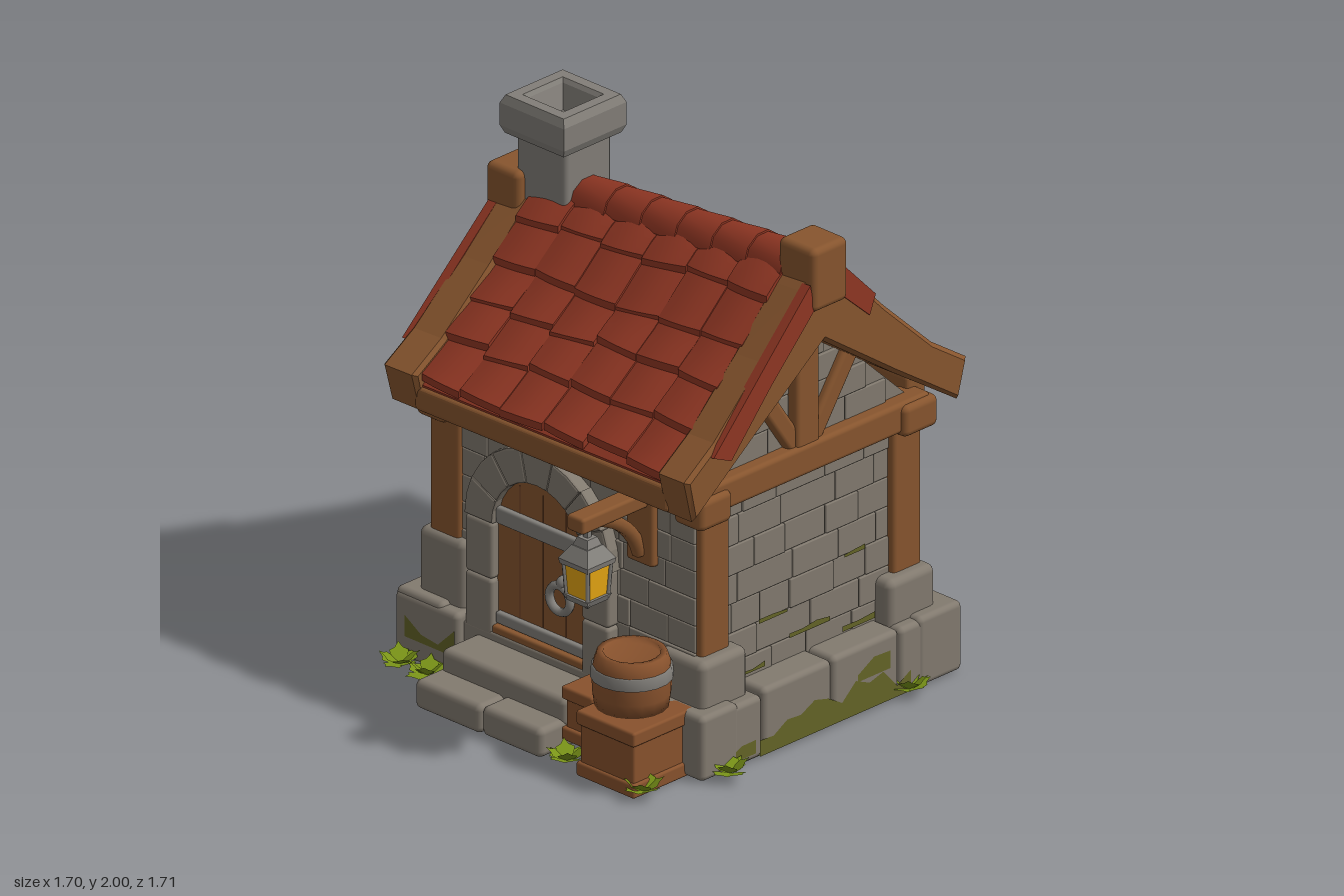
import * as THREE from 'three';
import { mergeGeometries } from 'three/addons/utils/BufferGeometryUtils.js';
import { RoundedBoxGeometry } from 'three/addons/geometries/RoundedBoxGeometry.js';

const material = (name, color, side = THREE.FrontSide) => {
  const m = new THREE.MeshStandardMaterial({ color, side });
  m.name = name;
  return m;
};

export function createModel() {
  const M = {
    stone: material('stone', 0x827a6f), pale: material('pale stone', 0x827e78),
    wood: material('timber', 0x87552e), plank: material('plank wood', 0x88522d),
    tile: material('roof tile', 0x8f3623), moss: material('moss', 0x646427, THREE.DoubleSide),
    leaf: material('leaf', 0x7a9418, THREE.DoubleSide), iron: material('iron', 0x83807b),
    glass: material('lit glass', 0xeaa914), soil: material('dark soil', 0x6c3e26),
  };
  const house = new THREE.Group();
  house.name = 'cottage';
  let seed = 7;
  const rand = (a = 0, b = 1) => { seed = (seed * 16807) % 2147483647; return a + (b - a) * seed / 2147483647; };
  const add = (name, geo, mat, parent = house) => {
    const mesh = new THREE.Mesh(geo, mat);
    mesh.name = name;
    parent.add(mesh);
    return mesh;
  };
  // Rounded block given by its limits
  const block = (name, mat, x0, x1, y0, y1, z0, z1, r = 0.018, parent = house) => {
    const w = x1 - x0, h = y1 - y0, d = z1 - z0;
    const geo = new RoundedBoxGeometry(w, h, d, 2, Math.min(r, w / 2.1, h / 2.1, d / 2.1));
    return add(name, geo.translate((x0 + x1) / 2, (y0 + y1) / 2, (z0 + z1) / 2), mat, parent);
  };
  const warp = (geo, fn) => {
    const p = geo.attributes.position, v = new THREE.Vector3();
    for (let i = 0; i < p.count; i++) { fn(v.fromBufferAttribute(p, i)); p.setXYZ(i, v.x, v.y, v.z); }
    geo.computeVertexNormals();
    return geo;
  };
  const shapeOf = (pts) => new THREE.Shape(pts.map(([a, b]) => new THREE.Vector2(a, b)));
  // Extrude a (z, y) profile along x, ending at xMax
  const alongX = (pts, depth, xMax, bevel = 0) => new THREE.ExtrudeGeometry(shapeOf(pts), {
    depth, bevelEnabled: bevel > 0, bevelSize: bevel, bevelThickness: bevel, bevelOffset: -bevel, bevelSegments: 1, curveSegments: 6,
  }).rotateY(-Math.PI / 2).translate(xMax, 0, 0);

  // Walls with close-set, slightly uneven bricks
  block('wall core', M.stone, -0.61, 0.61, 0.02, 1.06, -0.61, 0.45, 0.01);
  add('gable wall', alongX([[0.46, 1.03], [-0.06, 1.56], [-0.62, 1.03]], 1.22, 0.61), M.stone);
  const bricks = (name, width, y0, y1, place, rowWidth = () => width) => {
    const parts = [], rows = Math.round((y1 - y0) / 0.108), h = (y1 - y0) / rows;
    for (let r = 0; r < rows; r++) {
      const w = rowWidth(r / rows);
      let x = -w / 2;
      while (x < w / 2 - 0.03) {
        let bw = rand(0.13, 0.27);
        if (x + bw > w / 2 - 0.08) bw = w / 2 - x;
        const g = new RoundedBoxGeometry(bw - 0.002, h - 0.002, 0.05, 1, 0.004);
        parts.push(g.translate(x + bw / 2, y0 + (r + 0.5) * h, rand(-0.01, -0.003)));
        x += bw;
      }
    }
    place(add(name, mergeGeometries(parts), M.stone));
  };
  bricks('front bricks', 1.2, 0.22, 1.05, (m) => m.position.set(0.02, 0, 0.44));
  bricks('back bricks', 1.16, 0.22, 1.05, (m) => { m.position.set(0, 0, -0.6); m.rotation.y = Math.PI; });
  for (const s of [1, -1]) {
    const place = (m) => { m.position.set(s * 0.6, 0, -0.08); m.rotation.y = s * Math.PI / 2; };
    bricks('side bricks', 0.98, 0.22, 1.0, place);
    bricks('gable bricks', 0.9, 1.06, 1.46, place, (t) => 0.8 * (1 - t));
  }

  // Stone footing and corner stones
  block('footing core', M.stone, -0.71, 0.71, 0.004, 0.22, -0.7, 0.51, 0.01);
  const edges = [-0.73, -0.43, -0.1, 0.24, 0.54];
  const xs = [-0.745, -0.44, -0.12, 0.2, 0.46, 0.74];
  for (let i = 0; i < 4; i++) for (const s of [1, -1]) {
    block('footing stone', M.stone, s > 0 ? 0.52 : -0.745, s > 0 ? 0.735 : -0.52, 0.004, 0.25 + rand(-0.015, 0.015), edges[i] + 0.001, edges[i + 1] - 0.001, 0.022);
  }
  for (let i = 0; i < 5; i++) {
    block('back footing stone', M.stone, xs[i] + 0.001, xs[i + 1] - 0.001, 0.004, 0.25 + rand(-0.02, 0.02), -0.735, -0.52, 0.022);
    if (i !== 1 && i !== 2) block('front footing stone', M.stone, xs[i] + 0.001, xs[i + 1] - 0.001, 0.004, 0.25, 0.36, 0.545, 0.022);
  }
  for (const [x, z, h] of [[-0.57, 0.38, 0.5], [0.58, 0.38, 0.42], [0.58, -0.54, 0.42], [-0.57, -0.54, 0.44]]) {
    block('corner stone', M.stone, x - 0.11, x + 0.11, 0.2, h, z - 0.115, z + 0.115, 0.03);
  }

  // Corner posts, caps and tie beams
  for (const s of [1, -1]) {
    const a = s > 0 ? 0.53 : -0.645, b = s > 0 ? 0.645 : -0.5;
    block('front post', M.wood, a, b, 0.4, 1, 0.31, s > 0 ? 0.45 : 0.475);
    block('back post', M.wood, a, b, 0.4, 1, -0.63, -0.49);
    block('front post cap', M.wood, s * 0.62 - 0.07, s * 0.62 + 0.07, 0.92, 1.04, 0.34, 0.5, 0.025);
    block('back post cap', M.wood, s * 0.62 - 0.07, s * 0.62 + 0.07, 0.94, 1.06, -0.67, -0.5, 0.025);
    block('tie beam', M.wood, s > 0 ? 0.55 : -0.67, s > 0 ? 0.67 : -0.55, 0.955, 1.07, -0.65, 0.48);
    block('king post', M.wood, s * 0.62 - 0.04, s * 0.62 + 0.04, 1.05, 1.56, -0.118, -0.002);
    for (const k of [1, -1]) {
      const brace = block('gable brace', M.wood, -0.03, 0.03, -0.19, 0.2, -0.038, 0.038);
      brace.position.set(s * 0.62, 1.22, -0.06 + k * 0.145);
      brace.rotation.x = k * 0.6;
    }
  }

  // Roof curve: height by distance from the ridge, drooping towards -x
  const curve = [[0, 1.77], [0.11, 1.68], [0.31, 1.46], [0.55, 1.23], [0.66, 1.135]];
  const roofY = (d) => {
    let i = 0;
    while (i < 3 && d > curve[i + 1][0]) i++;
    const [a, b] = [curve[i], curve[i + 1]];
    return a[1] + (b[1] - a[1]) * (d - a[0]) / (b[0] - a[0]);
  };
  const lean = (v) => {
    v.y += (v.x - 0.6) * (0.008 + 0.072 * THREE.MathUtils.clamp((v.y - 1.05) / 0.75, 0, 1));
    v.x += 0.03 * v.z;
  };
  const band = (top, bottom) => { // closed profile between two offsets, both slopes
    const row = (o) => [...curve.slice(1).reverse().map(([d, y]) => [-0.06 + d, y + o]), [-0.06, 1.77 + o], ...curve.slice(1).map(([d, y]) => [-0.06 - d, y + o])];
    return [...row(top), ...row(bottom).reverse()];
  };
  add('roof underlay', warp(alongX(band(-0.008, -0.06), 1.24, 0.64), lean), M.tile);
  const tiles = [];
  for (const side of [1, -1]) for (let r = 0; r < 5; r++) for (let c = 0; c < 6; c++) {
    const w = 1.2 / 6, start = 0.02 + r * (side > 0 ? 0.125 : 0.12), slip = rand(-0.012, 0.012), up = rand(0, 0.014), skew = rand(-0.016, 0.016);
    tiles.push(warp(new THREE.BoxGeometry(1, 1, 1, 5, 1, 3), (v) => {
      const bow = 0.018 * Math.cos(v.x * Math.PI);
      const d = Math.max(0, start + (v.z + 0.5) * 0.142 + (v.z > 0 ? slip + skew * v.x + bow * 0.7 : 0));
      const h = v.y * 0.03 + 0.03 * (v.z + 0.5) + bow - 0.008 + up;
      v.set(0.015 + (c - 2.5) * w + side * v.x * (w - 0.002), roofY(d) + h, -0.06 + side * d);
      lean(v);
    }));
  }
  add('roof tiles', mergeGeometries(tiles), M.tile);
  for (let i = 0; i < 7; i++) {
    const g = new THREE.CylinderGeometry(0.087, 0.095, 0.18, 10).rotateZ(Math.PI / 2);
    add('ridge tile', warp(g.translate(-0.5 + i * 0.17, 1.722, -0.06), lean), M.tile);
  }
  // Barge boards, ridge ends, outer tile strips and eave beams
  const board = [[0.64, 1.18], [0.49, 1.28], [0.25, 1.5], [0.05, 1.7], [-0.06, 1.8], [-0.17, 1.7], [-0.37, 1.5], [-0.61, 1.28], [-0.785, 1.165],
    [-0.74, 1.02], [-0.41, 1.235], [-0.06, 1.475], [0.29, 1.235], [0.6, 1.02]];
  for (const s of [1, -1]) {
    const x1 = s > 0 ? 0.74 : -0.57;
    add('barge board', warp(alongX(board, s > 0 ? 0.12 : 0.13, x1 - 0.015, 0.015), lean), M.wood);
    add('edge tiles', warp(alongX([[0.52, 1.24], [0.25, 1.505], [0.03, 1.72], [0.01, 1.62], [0.23, 1.41], [0.43, 1.2]], 0.04, s > 0 ? 0.755 : -0.705), lean), M.tile);
    add('edge tiles', warp(alongX([[-0.14, 1.74], [-0.31, 1.57], [-0.28, 1.5], [-0.12, 1.64]], 0.04, s > 0 ? 0.746 : -0.7), lean), M.tile);
    const end = block('ridge end', M.wood, s > 0 ? 0.59 : -0.76, s > 0 ? 0.765 : -0.6, 1.62, 1.86, -0.15, 0.025, 0.025);
    if (s < 0) end.position.set(0, -0.14, 0.06);
    const beam = new RoundedBoxGeometry(1.22, 0.1, 0.1, 2, 0.018).translate(0.01, 1.07, s > 0 ? 0.565 : -0.65);
    add('eave beam', warp(beam, lean), M.wood);
  }

  // Chimney with a hollow, sloping mouth
  block('chimney shaft', M.pale, -0.645, -0.405, 1.35, 1.88, -0.18, 0.05, 0.02);
  const mouth = [[0.09, 1.87], [0.2, 1.855], [0.218, 1.885], [0.218, 1.97], [0.198, 2], [0.14, 2], [0.125, 1.985], [0.085, 1.9], [0.001, 1.895]];
  const cap = new THREE.LatheGeometry(mouth.map(([a, b]) => new THREE.Vector2(a, b)), 4).toNonIndexed();
  cap.rotateY(Math.PI / 4).translate(-0.525, 0, -0.062);
  cap.computeVertexNormals();
  add('chimney cap', cap, M.pale);

  // Arched surround of separate stones, standing in the xy plane
  const arch = (name, rIn, rOut, legH, depth, n, mat, parent) => {
    const opts = { depth, bevelEnabled: true, bevelSize: 0.008, bevelThickness: 0.01, bevelOffset: -0.008, bevelSegments: 2 };
    for (let i = 0; i < n; i++) {
      const a0 = i / n * Math.PI, a1 = (i + 1) / n * Math.PI, R = rOut + rand(-0.01, 0.01);
      const pt = (r, a) => [r * Math.cos(a), legH + r * Math.sin(a)];
      const am = (a0 + a1) / 2;
      add(name, new THREE.ExtrudeGeometry(shapeOf([pt(rIn, a0), pt(R, a0), pt(R, am), pt(R, a1), pt(rIn, a1), pt(rIn, am)]), opts), mat, parent);
    }
    for (const s of [1, -1]) for (let i = 0; i < 2; i++) {
      block(name, mat, s > 0 ? rIn : -rOut, s > 0 ? rOut : -rIn, legH * i / 2, legH * (i + 1) / 2, 0, depth + 0.01, 0.015, parent);
    }
  };
  const archPanel = (r, h, depth) => {
    const s = new THREE.Shape();
    s.moveTo(-r, 0).lineTo(r, 0).lineTo(r, h).absarc(0, h, r, 0, Math.PI, false).lineTo(-r, 0);
    return new THREE.ExtrudeGeometry(s, { depth, bevelEnabled: false });
  };
  // Door
  const door = new THREE.Group();
  door.name = 'door';
  door.position.set(-0.095, 0.2, 0.43);
  house.add(door);
  arch('door surround', 0.215, 0.345, 0.43, 0.07, 7, M.stone, door);
  add('door leaf', archPanel(0.22, 0.43, 0.045), M.wood, door);
  block('door sill', M.wood, -0.22, 0.22, 0, 0.045, 0, 0.075, 0.01, door);
  for (const x of [-0.11, 0, 0.11]) block('plank seam', M.soil, x - 0.002, x + 0.002, 0.04, 0.6, 0.042, 0.046, 0.001, door);
  for (const [y, h] of [[0.05, 0.045], [0.43, 0.065]]) block('door band', M.iron, -0.213, 0.213, y, y + h, 0.03, 0.065, 0.01, door);
  add('knocker ring', new THREE.TorusGeometry(0.05, 0.016, 8, 20).translate(0.105, 0.25, 0.07), M.iron, door);
  add('knocker boss', new THREE.SphereGeometry(0.028, 10, 8).translate(0.115, 0.31, 0.06), M.iron, door);
  // Steps
  block('lower step', M.stone, -0.4, -0.08, 0, 0.11, 0.4, 0.8, 0.025);
  block('lower step', M.stone, -0.082, 0.205, 0, 0.112, 0.4, 0.795, 0.025);
  block('upper step', M.stone, -0.39, 0.21, 0.08, 0.19, 0.4, 0.68, 0.025);

  // Latticed windows on the back and left-hand walls
  for (const [x, y, z, turn, h] of [[-0.03, 0.53, -0.59, Math.PI, 0.15], [-0.59, 0.58, -0.09, -Math.PI / 2, 0.18]]) {
    const win = new THREE.Group();
    win.name = 'window';
    win.position.set(x, y, z);
    win.rotation.y = turn;
    house.add(win);
    arch('window surround', 0.11, 0.2, h, 0.06, 5, M.stone, win);
    add('window glass', archPanel(0.115, h, 0.042), M.glass, win);
    for (const s of [1, -1]) for (let i = -1; i <= 1; i++) {
      const bar = block('lattice bar', M.soil, -0.006, 0.006, -0.14, 0.14, 0.04, 0.047, 0.001, win);
      bar.position.set(i * 0.085, h * 0.5 + 0.05, 0);
      bar.rotation.z = s * 0.7;
    }
    block('window sill', M.wood, -0.24, 0.24, -0.07, 0.01, -0.02, 0.11, 0.02, win);
  }

  // Lantern on its bracket
  block('bracket beam', M.wood, 0.335, 0.415, 0.925, 0.985, 0.42, 0.8, 0.012);
  block('bracket plate', M.wood, 0.31, 0.44, 0.7, 1.0, 0.42, 0.485, 0.015);
  const bend = new THREE.QuadraticBezierCurve3(new THREE.Vector3(0.375, 0.74, 0.48), new THREE.Vector3(0.375, 0.88, 0.52), new THREE.Vector3(0.375, 0.94, 0.69));
  add('bracket brace', new THREE.TubeGeometry(bend, 8, 0.027, 6), M.wood);
  const lanternPart = (name, rTop, rBottom, y0, y1, mat) => {
    const g = new THREE.CylinderGeometry(rTop, rBottom, y1 - y0, 4).toNonIndexed().rotateY(Math.PI / 4);
    g.computeVertexNormals();
    add(name, g.translate(0.375, (y0 + y1) / 2, 0.737), mat);
  };
  lanternPart('lantern hook', 0.015, 0.015, 0.88, 0.94, M.iron);
  lanternPart('lantern cap', 0.035, 0.055, 0.85, 0.89, M.iron);
  lanternPart('lantern roof', 0.055, 0.1, 0.81, 0.86, M.iron);
  lanternPart('lantern rim', 0.1, 0.095, 0.79, 0.81, M.iron);
  lanternPart('lantern glass', 0.08, 0.07, 0.67, 0.796, M.glass);
  lanternPart('lantern base', 0.085, 0.07, 0.65, 0.675, M.iron);
  lanternPart('lantern tip', 0.04, 0.004, 0.615, 0.65, M.iron);
  for (const a of [1, -1]) for (const b of [1, -1]) {
    const p = (k, y) => new THREE.Vector3(0.375 + a * k, y, 0.737 + b * k);
    add('lantern corner', new THREE.TubeGeometry(new THREE.LineCurve3(p(0.05, 0.66), p(0.058, 0.8)), 1, 0.008, 5), M.iron);
  }

  // Crates and barrel
  block('crate', M.plank, 0.385, 0.645, 0.02, 0.22, 0.5, 0.785, 0.01);
  for (const y of [0, 0.195]) block('crate rim', M.plank, 0.375, 0.655, y, y + 0.055, 0.49, 0.795, 0.01);
  block('small crate', M.plank, 0.235, 0.37, 0.06, 0.25, 0.5, 0.7, 0.01);
  for (const y of [0.06, 0.215]) block('small crate rim', M.plank, 0.225, 0.375, y, y + 0.05, 0.5, 0.715, 0.01);
  const lathe = (name, pts, mat) => add(name, new THREE.LatheGeometry(pts.map(([a, b]) => new THREE.Vector2(a, b)), 18).translate(0.475, 0, 0.62), mat);
  lathe('barrel', [[0, 0.25], [0.13, 0.25], [0.137, 0.3], [0.14, 0.36], [0.135, 0.41], [0.122, 0.45], [0.1, 0.45], [0.1, 0.43], [0, 0.43]], M.plank);
  lathe('barrel hoop', [[0.138, 0.355], [0.145, 0.358], [0.142, 0.4], [0.134, 0.403]], M.iron);

  // Moss along the footing and in the wall joints, and the underside
  const mossStrip = (length, x, y, z, turn, low = 0.05, high = 0.14) => {
    const pts = [[-length / 2, 0.01], [length / 2, 0.01]], n = Math.max(2, Math.round(length / 0.07));
    for (let i = n; i >= 0; i--) pts.push([(i / n - 0.5) * length, rand(low, high)]);
    const m = add('moss patch', new THREE.ShapeGeometry(shapeOf(pts)), M.moss);
    m.position.set(x, y, z);
    m.rotation.y = turn;
  };
  mossStrip(0.74, 0.738, 0, -0.11, Math.PI / 2);
  mossStrip(0.2, 0.738, 0.02, 0.38, Math.PI / 2, 0.03, 0.1);
  mossStrip(0.16, 0.738, 0.12, -0.3, Math.PI / 2, 0.03, 0.09);
  mossStrip(1.1, -0.748, 0, -0.1, -Math.PI / 2);
  mossStrip(0.2, -0.748, 0.13, 0.1, -Math.PI / 2, 0.03, 0.1);
  mossStrip(1.3, 0, 0, -0.738, Math.PI);
  mossStrip(0.22, 0.34, 0.13, -0.738, Math.PI, 0.03, 0.1);
  mossStrip(0.18, -0.28, 0.14, -0.738, Math.PI, 0.03, 0.08);
  mossStrip(0.24, -0.57, 0.08, 0.548, 0, 0.03, 0.13);
  for (const [z, y, l] of [[0.18, 0.26, 0.12], [-0.34, 0.26, 0.16], [-0.1, 0.325, 0.2], [0.08, 0.43, 0.14], [-0.32, 0.54, 0.1]]) {
    mossStrip(l, 0.6245, y, z, Math.PI / 2, 0.018, 0.035);
    mossStrip(l, -0.6245, y, z - 0.1, -Math.PI / 2, 0.018, 0.035);
    mossStrip(l, z * 1.4, y, -0.6245, Math.PI, 0.018, 0.035);
  }
  block('mossy underside', M.moss, -0.72, 0.72, 0.002, 0.012, -0.715, 0.525, 0.003);
  const soil = add('soil underside', new THREE.CircleGeometry(0.66, 8, Math.PI / 8).rotateX(Math.PI / 2), M.soil);
  soil.scale.z = 0.8;
  soil.position.set(0, 0.001, -0.1);

  // Leafy tufts round the footing and a vine on the window sill
  const leafShape = shapeOf([[0, 0], [0.026, 0.025], [0.034, 0.055], [0.014, 0.066], [0, 0.09], [-0.014, 0.066], [-0.034, 0.055], [-0.026, 0.025]]);
  const tufts = [[-0.75, 0.02, -0.75], [-0.5, 0.02, -0.77], [-0.44, 0.02, -0.77], [0.52, 0.02, -0.78], [0.74, 0.02, -0.47], [0.77, 0.02, 0.44], [0.66, 0.02, 0.75],
    [-0.52, 0.02, 0.61], [-0.65, 0.02, 0.61], [-0.77, 0.02, 0.3], [0.3, 0.02, 0.76], [-0.71, 0.6, -0.06], [-0.72, 0.53, -0.12], [-0.71, 0.43, -0.05]];
  for (const [x, y, z] of tufts) {
    const leaves = [];
    for (let i = 0; i < 8; i++) {
      const g = new THREE.ShapeGeometry(leafShape).rotateX(i % 2 ? rand(0.8, 1.0) : rand(1.15, 1.4));
      leaves.push(g.rotateY(i * Math.PI / 4 + rand(-0.3, 0.3)));
    }
    const tuft = add('leaf tuft', mergeGeometries(leaves), M.leaf);
    tuft.position.set(x, y, z);
    if (y > 0.3) tuft.rotation.z = 0.9;
  }
  return house;
}
